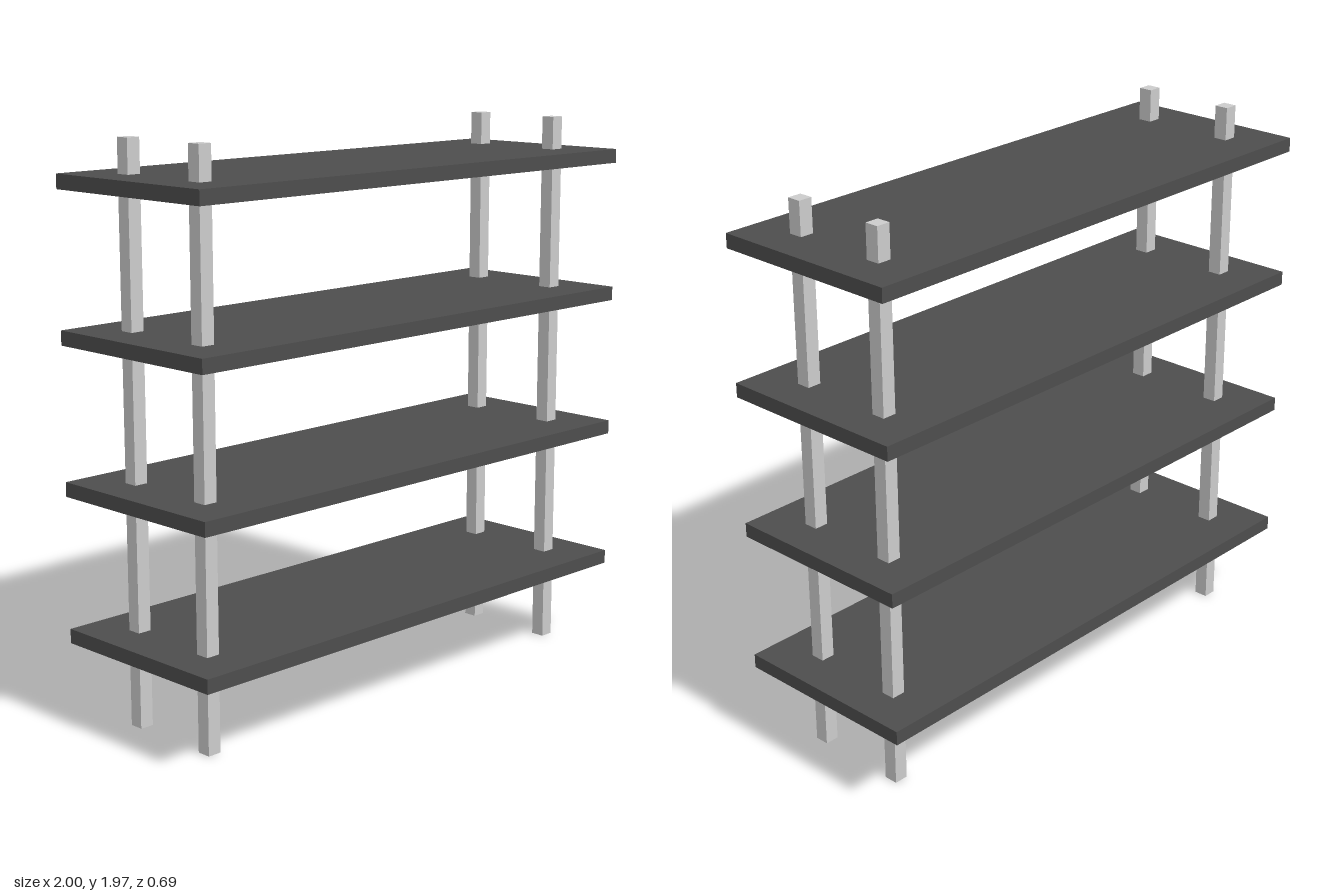
import * as THREE from 'three';

export function createModel() {
  const model = new THREE.Group();
  model.name = 'shelvingUnit';
  const postMaterial = new THREE.MeshStandardMaterial({ color: 0xcccccc });
  const shelfMaterial = new THREE.MeshStandardMaterial({ color: 0x4d4d4d });

  const addBox = (name, size, position, material) => {
    const mesh = new THREE.Mesh(new THREE.BoxGeometry(...size), material);
    mesh.name = name;
    mesh.position.set(...position);
    model.add(mesh);
  };

  // Four square posts running through all the shelves
  const postHeight = 1.97;
  for (const [side, x] of [['Left', 0.845], ['Right', -0.845]]) {
    for (const [end, z] of [['front', 0.172], ['back', -0.172]]) {
      addBox(`${end}${side}Post`, [0.05, postHeight, 0.05], [x, postHeight / 2, z], postMaterial);
    }
  }

  // Four evenly spaced shelf boards
  for (let i = 0; i < 4; i++) {
    addBox(`shelf${i + 1}`, [2, 0.05, 0.695], [0, 0.31 + i * 0.506, 0], shelfMaterial);
  }

  return model;
}
